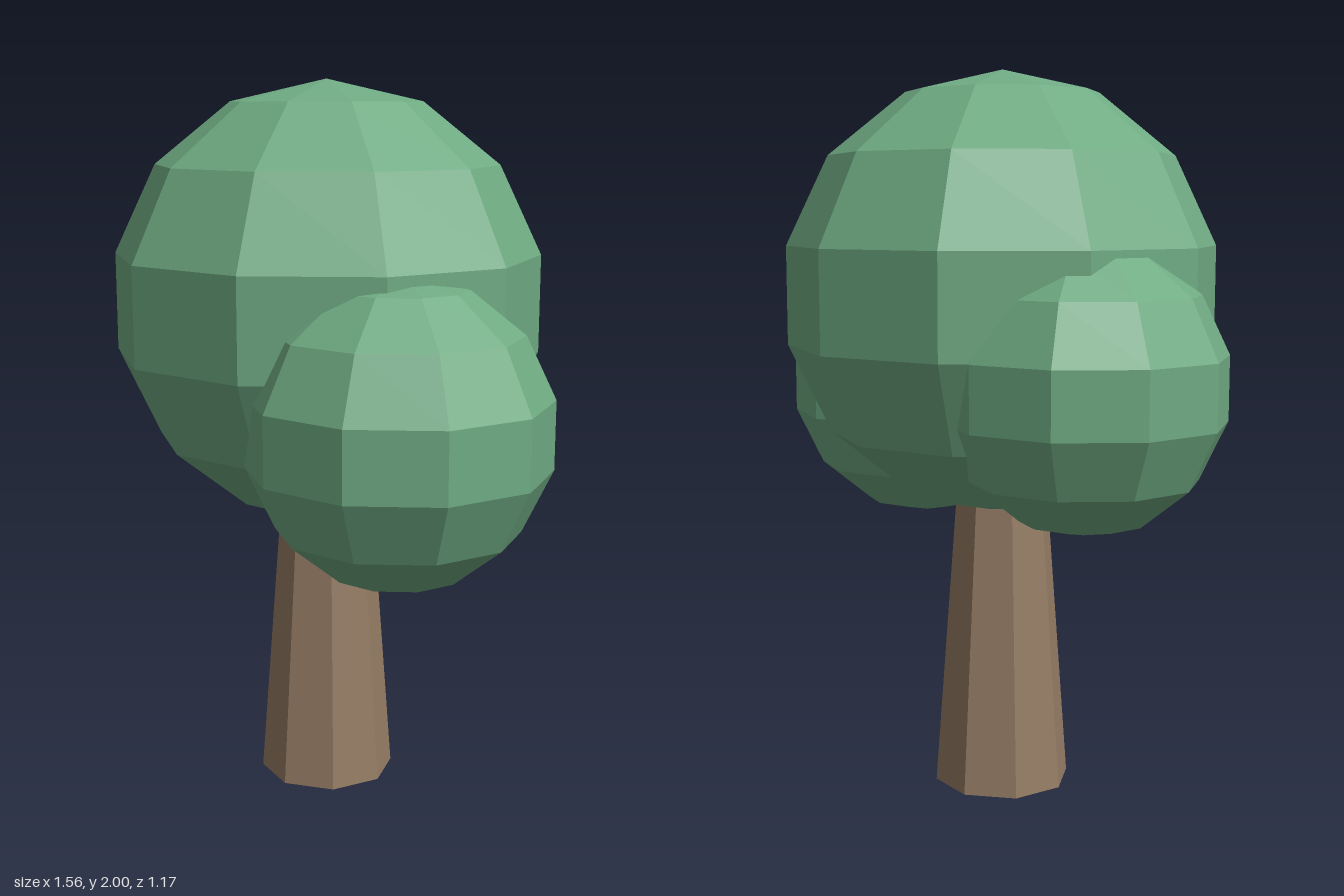
import * as THREE from 'three';

export function createModel() {
  const tree = new THREE.Group();
  tree.name = 'tree';

  const bark = new THREE.MeshStandardMaterial({ color: 0x967d66, flatShading: true });
  bark.name = 'bark brown';
  const leaves = new THREE.MeshStandardMaterial({ color: 0x6fab83, flatShading: true });
  leaves.name = 'leaf green';

  const add = (name, geometry, material, x, y, z) => {
    const mesh = new THREE.Mesh(geometry, material);
    mesh.name = name;
    mesh.position.set(x, y, z);
    tree.add(mesh);
  };

  // Tapered eight-sided trunk, its top hidden in the crown
  const trunkHeight = 0.92;
  add('trunk', new THREE.CylinderGeometry(0.124, 0.1925, trunkHeight, 8), bark,
    -0.043, trunkHeight / 2, -0.022);

  // Faceted foliage balls: name, radius, centre
  const foliage = [
    ['crown', 0.61, -0.043, 1.39, -0.022],
    ['leftFoliage', 0.41, 0.38, 1.11, 0.2],
    ['rightFoliage', 0.385, -0.405, 1.168, -0.19],
  ];
  for (const [name, radius, x, y, z] of foliage) {
    add(name, new THREE.SphereGeometry(radius, 10, 7), leaves, x, y, z);
  }

  return tree;
}
